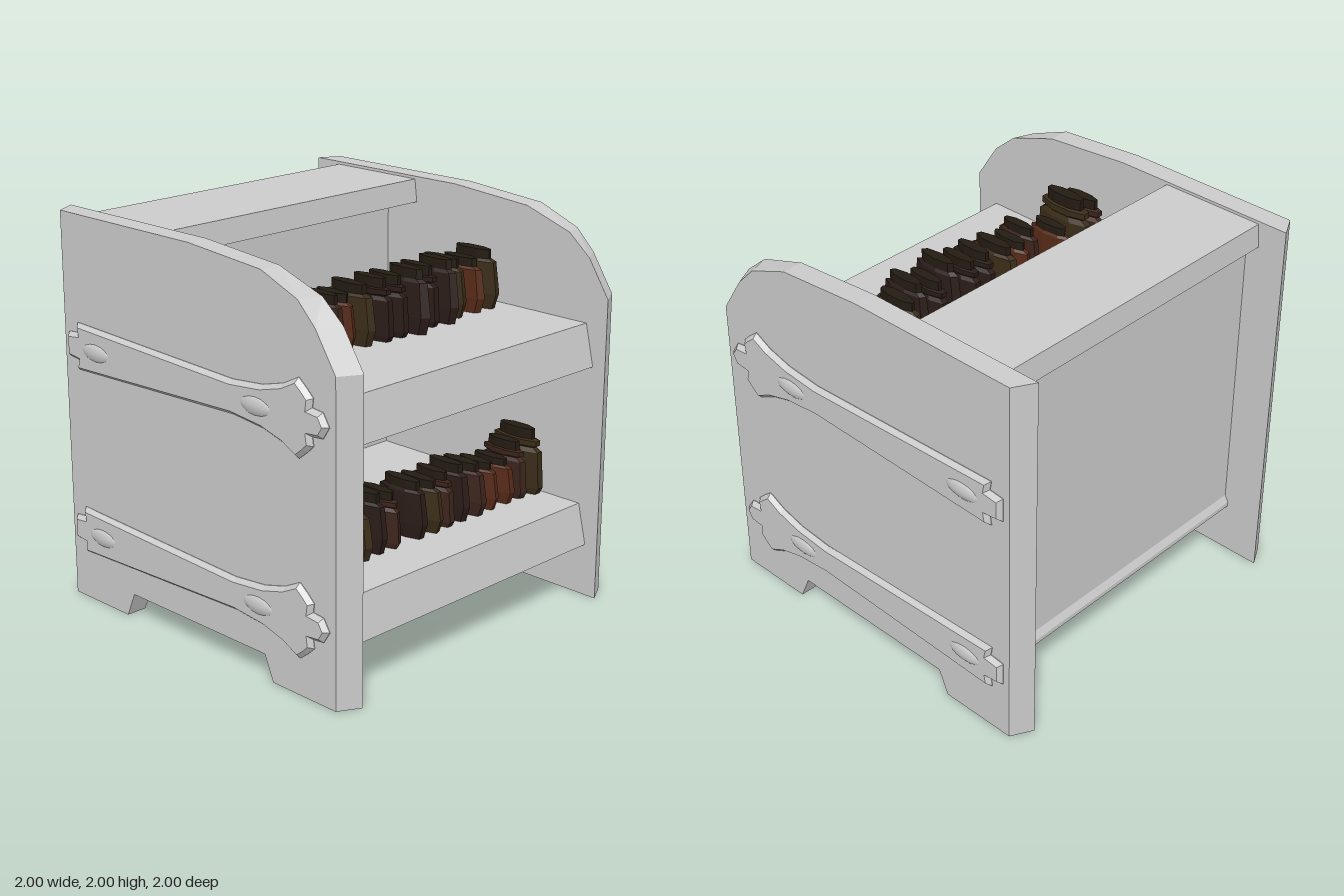
import * as THREE from 'three';

const wood = new THREE.MeshStandardMaterial({ color: 0xcccccc, flatShading: true });
const smooth = new THREE.MeshStandardMaterial({ color: 0xcccccc });
const glass = [0x3a2c18, 0x562a18, 0x2a1c18, 0x3c241c].map(
  (color) => new THREE.MeshStandardMaterial({ color, flatShading: true }));
const capMaterial = new THREE.MeshStandardMaterial({ color: 0x241c13, flatShading: true });

// Extrudes a (z, y) outline along x; side +1 grows toward +x, -1 toward -x
function sideways(points, side, options) {
  const shape = new THREE.Shape(points.map(([z, y]) => new THREE.Vector2(-side * z, y)));
  const geometry = new THREE.ExtrudeGeometry(shape, { bevelEnabled: false, ...options });
  return geometry.rotateY(side * Math.PI / 2);
}

function add(parent, name, geometry, material = wood) {
  const mesh = new THREE.Mesh(geometry, material);
  mesh.name = name;
  parent.add(mesh);
  return mesh;
}

const panelOutline = [
  [1, 0], [1, 1.576], [0.877, 1.764], [0.75, 1.871], [0.48, 1.962], [0, 2], [-1, 2], [-1, 0],
  [-0.53, 0], [-0.475, 0.127], [0.475, 0.127], [0.53, 0],
];

// Side panel whose outer face is narrower than its inner face
function sidePanel(side) {
  const geometry = sideways(panelOutline, side, { depth: 0.111 });
  const p = geometry.attributes.position;
  for (let i = 0; i < p.count; i++) {
    const z = p.getZ(i);
    if (Math.abs(p.getX(i)) > 0.05 && Math.abs(z) > 0.54) {
      p.setZ(i, z - Math.sign(z) * 0.06 * Math.min(1, (Math.abs(z) - 0.5) / 0.37));
    }
  }
  geometry.computeVertexNormals();
  return geometry.translate(side * 0.847, 0, 0);
}

// Upper half of the strap outline, mirrored below
const strapHalf = [
  [0.905, 0], [0.866, 0.06], [0.8, 0.066], [0.807, 0.11], [0.77, 0.145], [0.717, 0.187],
  [0.62, 0.138], [0.487, 0.102], [0.29, 0.083], [-0.834, 0.12], [-0.825, 0.07], [-0.904, 0.062],
];
const strapOutline = [...strapHalf, ...strapHalf.slice(1).reverse().map(([z, y]) => [z, -y])];

function strap(side, y) {
  const group = new THREE.Group();
  group.name = 'strap';
  group.position.set(side * 0.958, y, 0);
  add(group, 'strapPlate', sideways(strapOutline, side, {
    depth: 0.003, bevelEnabled: true, bevelSegments: 1,
    bevelSize: 0.02, bevelOffset: -0.02, bevelThickness: 0.024,
  }));
  for (const z of [0.46, -0.675]) {
    const stud = add(group, 'stud', new THREE.SphereGeometry(1, 10, 8).rotateX(Math.PI / 2), smooth);
    stud.scale.set(0.026, 0.05, 0.107);
    stud.position.set(side * 0.016, 0, z);
  }
  return group;
}

// Unit profiles as [radius, height]: plain bottle and collared bottle
const bodies = [
  [[0, 0], [0.84, 0], [1, 0.27], [0.86, 0.8], [0.55, 0.87], [0, 0.87]],
  [[0, 0], [0.88, 0], [1, 0.1], [0.92, 0.66], [0.7, 0.72], [0.85, 0.75], [0.85, 0.83], [0.6, 0.85], [0, 0.85]],
];
const caps = [
  [[0, 0.84], [0.66, 0.84], [0.66, 1], [0, 1]],
  [[0, 0.83], [0.65, 0.83], [0.65, 1], [0, 1]],
];

function bottle(x, z, base, top, halfWidth, halfDepth, type, color, turn) {
  const group = new THREE.Group();
  group.name = 'bottle';
  group.position.set(x, base, z);
  const k = 1 / Math.cos(Math.PI / 8);
  const turned = (profile) => new THREE.LatheGeometry(
    profile.map(([r, h]) => new THREE.Vector2(r, h)), 8)
    .rotateY(Math.PI / 8 + turn)
    .scale(halfWidth * k, top - base, halfDepth * k);
  add(group, 'bottleBody', turned(bodies[type]), glass[color]);
  add(group, 'bottleCap', turned(caps[type]), capMaterial);
  return group;
}

// Rows of [x, top, z, half width, type, color, turn]
const upperRow = [
  [-0.795, 1.76, 0.22, 0.042, 1, 3, 0], [-0.67, 1.82, 0.22, 0.049, 1, 0, 0],
  [-0.555, 1.70, 0.215, 0.042, 0, 1, 0.25], [-0.41, 1.725, 0.30, 0.04, 0, 3, 0],
  [-0.307, 1.705, 0.265, 0.042, 0, 1, 0.15], [-0.195, 1.73, 0.265, 0.046, 0, 0, -0.1],
  [-0.073, 1.74, 0.285, 0.042, 1, 2, 0], [0.03, 1.735, 0.285, 0.042, 1, 2, 0],
  [0.133, 1.755, 0.325, 0.043, 0, 2, -0.25], [0.27, 1.735, 0.265, 0.042, 1, 2, 0],
  [0.37, 1.755, 0.30, 0.042, 0, 2, -0.2], [0.482, 1.73, 0.24, 0.046, 0, 0, 0.1],
  [0.615, 1.71, 0.25, 0.043, 0, 1, -0.15], [0.725, 1.735, 0.24, 0.047, 0, 0, 0.08],
];
const lowerRow = [
  [-0.77, 0.83, 0.5, 0.049, 1, 0, 0], [-0.663, 0.79, 0.5, 0.042, 1, 3, 0.1],
  [-0.559, 0.73, 0.5, 0.041, 0, 1, 0], [-0.45, 0.755, 0.5, 0.046, 0, 0, -0.1],
  [-0.337, 0.785, 0.5, 0.043, 0, 2, 0], [-0.235, 0.765, 0.5, 0.042, 1, 3, 0.15],
  [-0.064, 0.775, 0.5, 0.045, 0, 2, 0], [0.048, 0.75, 0.5, 0.046, 0, 0, 0.1],
  [0.147, 0.765, 0.5, 0.041, 1, 3, 0], [0.251, 0.78, 0.5, 0.043, 0, 2, -0.1],
  [0.364, 0.755, 0.5, 0.046, 0, 3, 0], [0.473, 0.73, 0.5, 0.043, 0, 1, 0.1],
  [0.594, 0.72, 0.5, 0.043, 0, 1, 0], [0.695, 0.785, 0.5, 0.041, 1, 3, -0.1],
  [0.8, 0.83, 0.5, 0.047, 1, 0, 0],
];

export function createModel() {
  const model = new THREE.Group();
  model.name = 'bottleRack';

  // Side panels and decorative straps
  for (const side of [1, -1]) {
    add(model, side > 0 ? 'leftPanel' : 'rightPanel', sidePanel(side));
    for (const y of [0.377, 1.34]) model.add(strap(side, y));
  }

  // Boards spanning between the panels
  const boards = {
    topBoard: [[-0.265, 1.865], [-0.28, 1.985], [-0.84, 1.985], [-0.852, 1.865]],
    upperShelf: [[0.925, 1.22], [0.875, 1.435], [-0.6, 1.435], [-0.6, 1.22]],
    lowerShelf: [[0.925, 0.275], [0.875, 0.487], [-0.7, 0.487], [-0.8, 0.3], [-0.8, 0.275]],
    backPanel: [[-0.47, 0.29], [-0.47, 1.88], [-0.78, 1.88], [-0.78, 0.29]],
  };
  for (const [name, outline] of Object.entries(boards)) {
    add(model, name, sideways(outline, 1, { depth: 1.7 }).translate(-0.85, 0, 0));
  }

  // Bottles
  for (const [row, base] of [[upperRow, 1.435], [lowerRow, 0.487]]) {
    for (const [x, top, z, halfWidth, type, color, turn] of row) {
      model.add(bottle(x, z, base, top, halfWidth, halfWidth * 3.45, type, color, turn));
    }
  }
  return model;
}
